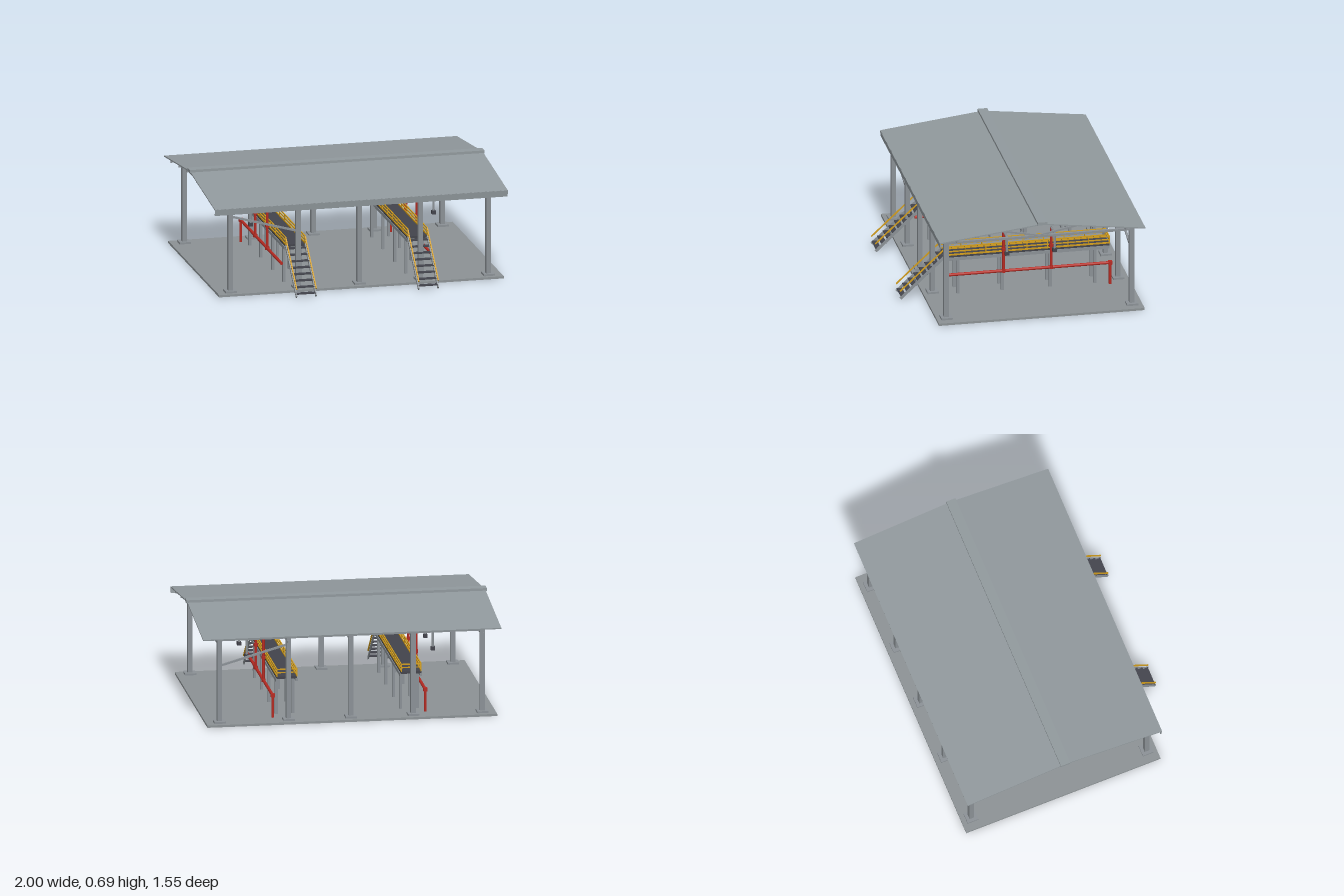
import * as THREE from 'three';

const mat = (name, color) => {
  const m = new THREE.MeshStandardMaterial({ color });
  m.name = name;
  return m;
};

export function createModel() {
  const steel = mat('steel grey', 0x8a9095);
  const sheet = mat('roof grey', 0x90989c);
  const concrete = mat('concrete grey', 0x8b9194);
  const dark = mat('dark grating', 0x42434b);
  const yellow = mat('safety yellow', 0xcf9b1c);
  const red = mat('pipe red', 0xb52a22);

  const model = new THREE.Group();
  model.name = 'loadingShelter';
  const V = (x, y, z) => new THREE.Vector3(x, y, z);

  function add(geo, material, name, x, y, z) {
    const m = new THREE.Mesh(geo, material);
    m.name = name;
    m.position.set(x, y, z);
    model.add(m);
    return m;
  }
  const box = (name, material, w, h, d, x, y, z) =>
    add(new THREE.BoxGeometry(w, h, d), material, name, x, y, z);
  // rectangular bar from a to b
  function bar(name, material, a, b, w, h = w) {
    const c = a.clone().add(b).multiplyScalar(0.5);
    const m = box(name, material, w, h, a.distanceTo(b), c.x, c.y, c.z);
    m.lookAt(b);
    return m;
  }
  // round pipe from a to b
  function pipe(name, material, a, b, r) {
    const c = a.clone().add(b).multiplyScalar(0.5);
    const m = add(new THREE.CylinderGeometry(r, r, a.distanceTo(b), 16), material, name, c.x, c.y, c.z);
    m.quaternion.setFromUnitVectors(V(0, 1, 0), b.clone().sub(a).normalize());
    return m;
  }

  const zRidge = -0.083, zFront = 0.54, zRear = -0.705;
  const frames = [-0.875, -0.415, 0, 0.415, 0.875];
  const roofY = z => 0.678 - Math.abs(z - zRidge) * 0.12;

  // floor slab
  box('floorSlab', concrete, 1.93, 0.015, 1.38, 0, 0.0075, -0.085);

  // columns and roof trusses
  for (const x of frames) {
    for (const z of [zFront, zRear]) {
      box('column', steel, 0.032, 0.575, 0.032, x, 0.3, z);
      box('basePlate', steel, 0.075, 0.014, 0.075, x, 0.021, z);
      bar('topChord', steel, V(x, 0.568, z), V(x, 0.654, zRidge), 0.02, 0.018);
      const zMid = zRidge + (z - zRidge) * 0.47;
      bar('trussWeb', steel, V(x, 0.553, zRidge), V(x, 0.612, zMid), 0.012);
    }
    box('bottomChord', steel, 0.02, 0.015, 1.28, x, 0.549, -0.083);
    box('ridgePost', steel, 0.015, 0.03, 0.012, x, 0.652, zRidge);
  }

  // diagonal bracing in opposite corner bays
  bar('brace', steel, V(-0.875, 0.53, zFront), V(-0.415, 0.4, zFront), 0.013);
  bar('brace', steel, V(0.415, 0.53, zRear), V(0.875, 0.4, zRear), 0.013);

  // purlins and eave beams
  for (const z of [0.485, 0.265, 0.05, -0.215, -0.43, -0.65])
    box('purlin', steel, 1.96, 0.022, 0.012, 0, roofY(z) - 0.015, z);
  for (const z of [zFront, zRear]) box('eaveBeam', steel, 1.78, 0.025, 0.02, 0, 0.582, z);

  // roof sheets, ridge cap and front fascia
  for (const z of [0.603, -0.774])
    bar('roofSheet', sheet, V(0, roofY(z), z), V(0, 0.678, zRidge), 1.985, 0.008);
  box('ridgeCap', sheet, 2, 0.02, 0.065, 0, 0.685, zRidge);
  bar('frontFascia', sheet, V(0, 0.599, 0.602), V(0, 0.557, 0.597), 1.985, 0.008);

  // loading platforms, mirrored left and right
  for (const s of [1, -1]) {
    const cx = s * 0.414;
    const zA = 0.47, zB = -0.635, zC = (zA + zB) / 2, len = zA - zB;

    box('deck', dark, 0.136, 0.016, len, cx, 0.283, zC);
    for (const z of [0.38, 0.08, -0.24, -0.54])
      box('crossBeam', steel, 0.12, 0.018, 0.02, cx, 0.266, z);

    for (const e of [-0.066, 0.066]) {
      const x = cx + e;
      box('edgeBeam', steel, 0.014, 0.022, len, x, 0.266, zC);
      box('toeBoard', yellow, 0.006, 0.01, len, x, 0.295, zC);
      for (const z of [0.38, 0.08, -0.24, -0.54])
        box('platformLeg', steel, 0.018, 0.245, 0.02, x - Math.sign(e) * 0.01, 0.1375, z);

      // guard rails
      for (let i = 0; i < 9; i++)
        box('railPost', yellow, 0.006, 0.052, 0.006, x, 0.315, zA - i * len / 8);
      for (const y of [0.318, 0.34]) box('guardRail', yellow, 0.007, 0.007, len, x, y, zC);

      // stair side
      bar('stairStringer', steel, V(x, 0.285, zA), V(x, 0.012, 0.766), 0.008, 0.018);
      bar('stairRail', yellow, V(x, 0.34, zA), V(x, 0.064, 0.768), 0.008);
    }
    for (const y of [0.318, 0.34]) box('endRail', yellow, 0.132, 0.007, 0.007, cx, y, zB);

    // stair treads
    for (let i = 0; i < 8; i++) {
      const t = (i + 0.5) / 8;
      box('stairTread', dark, 0.128, 0.006, 0.036, cx, 0.287 - t * 0.273, zA + t * 0.296);
    }

    // supply pipe
    const px = s * 0.508;
    pipe('supplyPipe', red, V(px, 0.165, zA), V(px, 0.165, -0.64), 0.01);
    pipe('supplyDrop', red, V(px, 0.015, zB), V(px, 0.165, zB), 0.009);
    box('pipeElbow', red, 0.026, 0.024, 0.026, px, 0.165, zB);

    // loading arms
    const ax = s * 0.62;
    for (const z of [0.08, -0.24]) {
      pipe('riser', red, V(px, 0.165, z), V(px, 0.45, z), 0.009);
      for (const y of [0.165, 0.32])
        pipe('riserFlange', red, V(px, y - 0.01, z), V(px, y + 0.01, z), 0.014);
      pipe('armBoom', steel, V(px, 0.45, z), V(ax, 0.45, z), 0.008);
      pipe('armDrop', steel, V(ax, 0.34, z), V(ax, 0.457, z), 0.008);
      box('armNozzle', dark, 0.027, 0.024, 0.03, ax, 0.335, z);
      pipe('balanceRod', steel, V(ax, 0.453, z), V(s * 0.46, 0.478, z), 0.003);
      box('counterweight', dark, 0.044, 0.028, 0.034, s * 0.455, 0.472, z);
    }
  }
  return model;
}
